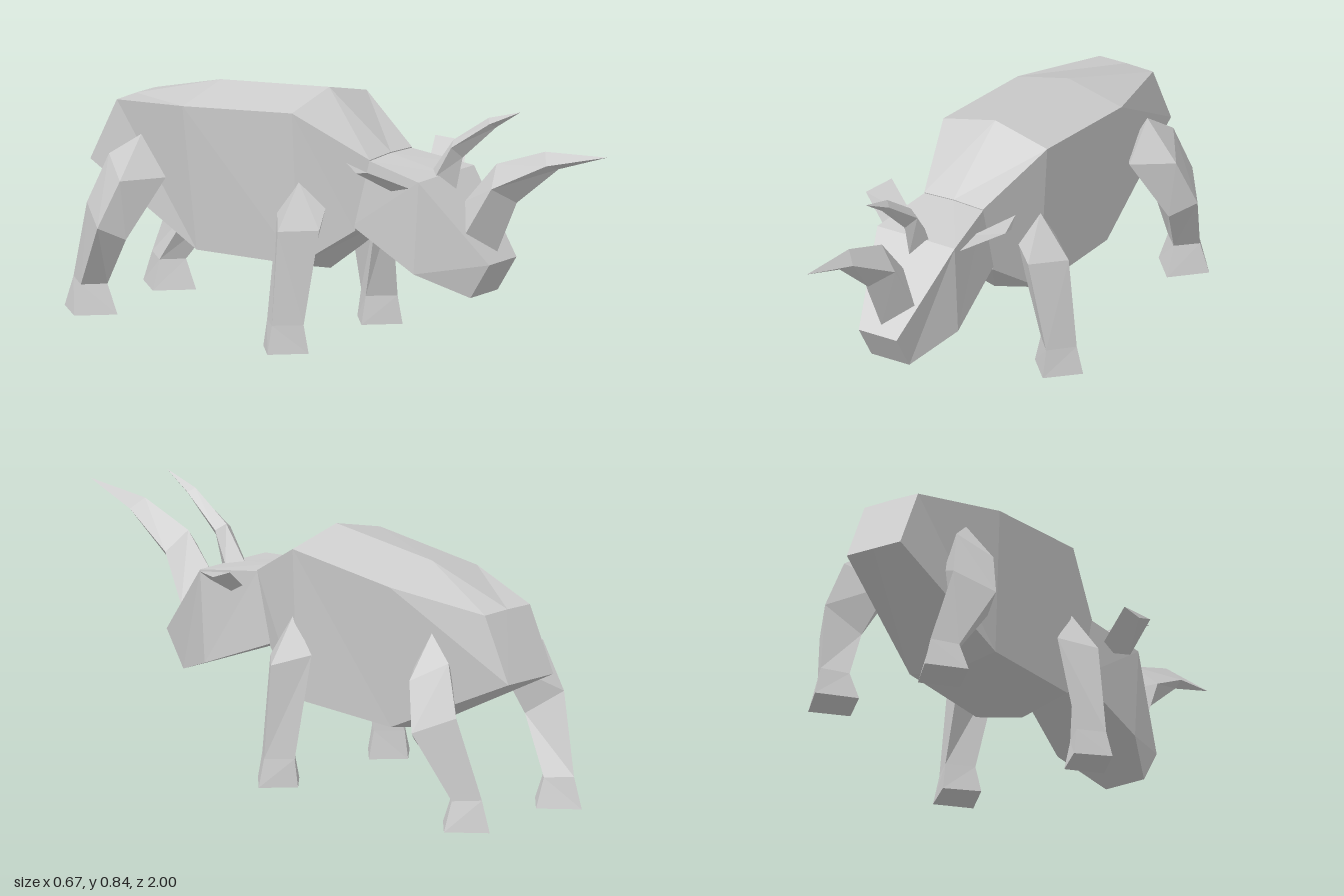
import * as THREE from 'three';

// Flat-faced closed skin over rings of [x, y, z] points; a ring of equal points is a tip.
function loft(rings) {
  const pos = [];
  const V = (p) => new THREE.Vector3(...p);
  let volume = 0;
  const tri = (a, b, c) => {
    const A = V(a), B = V(b), C = V(c);
    const n = B.clone().sub(A).cross(C.clone().sub(A));
    if (n.length() < 1e-7) return;
    volume += A.dot(B.clone().cross(C));
    pos.push(...a, ...b, ...c);
  };
  const n = rings[0].length;
  for (let r = 0; r < rings.length - 1; r++) {
    const p = rings[r], q = rings[r + 1];
    for (let i = 0; i < n; i++) {
      const j = (i + 1) % n;
      tri(p[i], p[j], q[j]);
      tri(p[i], q[j], q[i]);
    }
  }
  const first = rings[0], last = rings[rings.length - 1];
  for (let i = 1; i < n - 1; i++) {
    tri(first[0], first[i + 1], first[i]);
    tri(last[0], last[i], last[i + 1]);
  }
  // Turn the skin outward if the rings ran the other way round
  if (volume < 0) {
    for (let i = 0; i < pos.length; i += 9) {
      for (let k = 0; k < 3; k++) [pos[i + 3 + k], pos[i + 6 + k]] = [pos[i + 6 + k], pos[i + 3 + k]];
    }
  }
  const g = new THREE.BufferGeometry();
  g.setAttribute('position', new THREE.Float32BufferAttribute(pos, 3));
  g.computeVertexNormals();
  return g;
}

const flip = ([x, y, z]) => [-x, y, z];
const tip = (p, n = 4) => Array(n).fill(p);
// Full ring from its left half, listed from top centre to bottom centre
const whole = (half) => [...half, ...half.slice(1, -1).reverse().map(flip)];
// Diamond horn ring: front point, side points, back point, as [y, z]
const diamond = (w, f, s, b) => [[0, ...f], [w, ...s], [0, ...b], [-w, ...s]];

export function createModel() {
  const model = new THREE.Group();
  const hide = new THREE.MeshStandardMaterial({ color: 0xcccccc });
  hide.name = 'grey hide';

  const add = (name, rings) => {
    const mesh = new THREE.Mesh(loft(rings), hide);
    mesh.name = name;
    model.add(mesh);
  };
  const addPair = (name, rings) => {
    add('left' + name, rings);
    add('right' + name, rings.map((r) => r.map(flip)));
  };

  // Body from neck to rump
  add('body', [
    [[0, 0.63, 0.14], [0.11, 0.625, 0.14], [0.11, 0.385, 0.08], [0, 0.38, 0.08]],
    [[0, 0.805, -0.105], [0.195, 0.757, -0.105], [0.17, 0.26, -0.1], [0, 0.216, -0.1]],
    [[0, 0.765, -0.535], [0.195, 0.715, -0.54], [0.16, 0.245, -0.51], [0, 0.216, -0.51]],
    [[0, 0.67, -0.873], [0.1, 0.668, -0.873], [0.1, 0.46, -0.978], [0, 0.46, -0.978]],
  ].map(whole));

  // Head, widest at the brow and cut square at the snout
  add('head', [
    [[0, 0.627, 0.138], [0.11, 0.622, 0.138], [0.11, 0.4, 0.07], [0, 0.4, 0.07]],
    [[0, 0.593, 0.36], [0.145, 0.592, 0.36], [0.145, 0.29, 0.34], [0, 0.29, 0.34]],
    [[0, 0.342, 0.585], [0.071, 0.342, 0.585], [0.071, 0.224, 0.51], [0, 0.224, 0.51]],
  ].map(whole));

  // Horns
  add('noseHorn', [
    diamond(0.087, [0.37, 0.563], [0.437, 0.504], [0.515, 0.435]),
    diamond(0.07, [0.54, 0.64], [0.59, 0.592], [0.655, 0.56]),
    diamond(0.036, [0.675, 0.807], [0.688, 0.785], [0.724, 0.753]),
    tip([0, 0.742, 1]),
  ]);
  add('browHorn', [
    diamond(0.043, [0.55, 0.4], [0.59, 0.35], [0.6, 0.308]),
    diamond(0.034, [0.655, 0.425], [0.69, 0.405], [0.708, 0.389]),
    diamond(0.018, [0.775, 0.56], [0.785, 0.545], [0.8, 0.528]),
    tip([0, 0.837, 0.655]),
  ]);

  // Ears
  addPair('Ear', [
    [[0.13, 0.56, 0.325], [0.125, 0.54, 0.24], [0.11, 0.56, 0.2]],
    [[0.262, 0.63, 0.245], [0.252, 0.618, 0.195], [0.232, 0.64, 0.14]],
  ]);

  // Legs: shoulder tip down to the foot; rings run outer, front, inner, back
  addPair('FrontLeg', [
    tip([0.178, 0.533, -0.09]),
    [[0.282, 0.39, -0.095], [0.19, 0.39, 0], [0.14, 0.46, -0.01], [0.18, 0.42, -0.175]],
    [[0.312, 0.09, -0.095], [0.245, 0.09, -0.02], [0.177, 0.09, -0.095], [0.245, 0.09, -0.165]],
    [[0.336, 0, -0.095], [0.245, 0, 0], [0.155, 0, -0.095], [0.245, 0, -0.18]],
  ]);
  addPair('HindLeg', [
    tip([0.18, 0.595, -0.715]),
    [[0.285, 0.46, -0.72], [0.17, 0.465, -0.625], [0.1, 0.46, -0.72], [0.21, 0.522, -0.82]],
    [[0.33, 0.307, -0.775], [0.26, 0.265, -0.715], [0.17, 0.28, -0.78], [0.24, 0.36, -0.885]],
    [[0.265, 0.095, -0.89], [0.205, 0.095, -0.83], [0.145, 0.095, -0.89], [0.205, 0.1, -0.965]],
    [[0.3, 0, -0.89], [0.205, 0, -0.79], [0.11, 0, -0.89], [0.205, 0, -1]],
  ]);

  return model;
}
